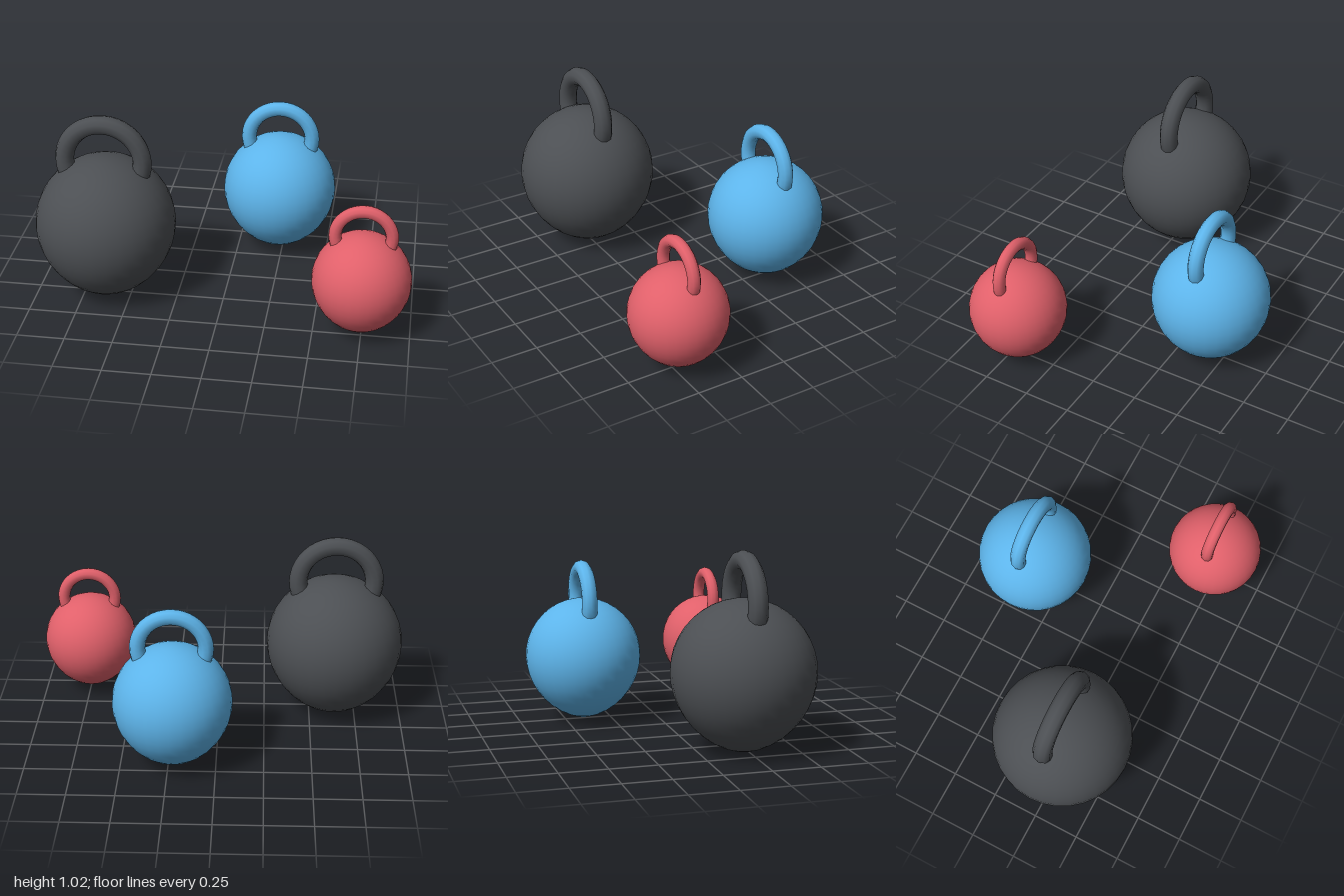
import * as THREE from 'three';
import { mergeVertices } from 'three/addons/utils/BufferGeometryUtils.js';

// Ball whose lower half draws down to a soft point
function ballGeometry(radius) {
  const geometry = new THREE.SphereGeometry(radius, 32, 20);
  const p = geometry.attributes.position;
  for (let i = 0; i < p.count; i++) {
    if (p.getY(i) < -1e-6) {
      const r = Math.hypot(p.getX(i), p.getZ(i)) / radius;
      p.setY(i, p.getY(i) - 0.115 * radius * (1 - r));
    }
  }
  // Weld the seam so the shading is smooth all round
  geometry.deleteAttribute('normal');
  geometry.deleteAttribute('uv');
  const welded = mergeVertices(geometry, 1e-5);
  welded.computeVertexNormals();
  return welded;
}

function kettlebell({ name, color, radius, x, y, z, ring, tube, ringY }) {
  const group = new THREE.Group();
  group.name = name;
  const material = new THREE.MeshStandardMaterial({ color });

  const ball = new THREE.Mesh(ballGeometry(radius), material);
  ball.name = 'ball';
  ball.position.y = y;

  // Ring handle, its lower part sunk into the ball
  const handle = new THREE.Mesh(new THREE.TorusGeometry(ring, tube, 10, 40), material);
  handle.name = 'handle';
  handle.position.y = ringY;

  group.add(ball, handle);
  group.position.set(x, 0, z);
  return group;
}

export function createModel() {
  const model = new THREE.Group();
  model.name = 'kettlebells';
  const bells = [
    { name: 'largeKettlebell', color: 0x4c4f53, radius: 0.37, x: -0.63, y: 0.415, z: 0.225, ring: 0.205, tube: 0.05, ringY: 0.77 },
    { name: 'mediumKettlebell', color: 0x5db4ea, radius: 0.311, x: 0.225, y: 0.363, z: -0.403, ring: 0.174, tube: 0.041, ringY: 0.665 },
    { name: 'smallKettlebell', color: 0xe0606a, radius: 0.255, x: 0.74, y: 0.308, z: 0.457, ring: 0.143, tube: 0.033, ringY: 0.555 },
  ];
  for (const bell of bells) model.add(kettlebell(bell));
  return model;
}
